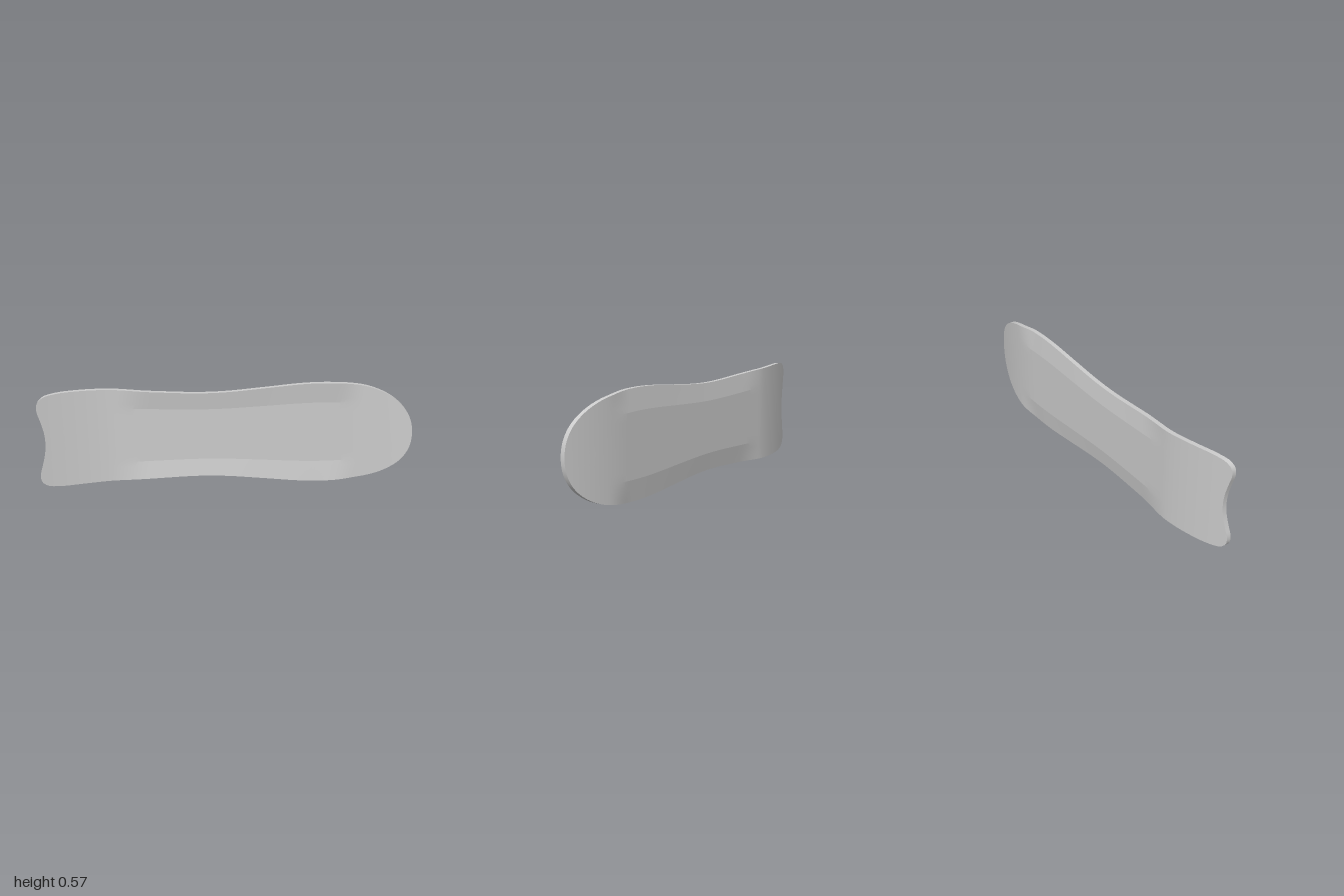
import * as THREE from 'three';
import { toCreasedNormals } from 'three/addons/utils/BufferGeometryUtils.js';

const MID_Y = 0.285;
const THICK = 0.024;
const { clamp, smoothstep } = THREE.MathUtils;

// Half of the deck outline, from the notch in the tail to the tip of the nose: [x, half width]
const HALF = [
  [-0.965, 0], [-0.97, 0.06], [-0.985, 0.125], [-1, 0.185], [-0.995, 0.224], [-0.965, 0.252],
  [-0.9, 0.265], [-0.8, 0.268], [-0.6, 0.263], [-0.4, 0.251], [-0.15, 0.24], [0, 0.244],
  [0.2, 0.262], [0.4, 0.281], [0.52, 0.285], [0.65, 0.278], [0.78, 0.254], [0.88, 0.21],
  [0.95, 0.15], [0.988, 0.08], [1, 0],
];

function outlinePoints(count) {
  const mirrored = HALF.slice(1, -1).reverse().map(([x, y]) => [x, -y]);
  const points = [...HALF, ...mirrored].map(([x, y]) => new THREE.Vector3(x, y, 0));
  return new THREE.CatmullRomCurve3(points, true).getSpacedPoints(count).slice(0, count);
}

// Height of the back face: flat middle, kicked up tail and nose, raised sides
function backZ(x, v) {
  const tail = 0.085 * Math.pow(clamp((-0.6 - x) / 0.4, 0, 1), 1.6);
  const nose = 0.056 * Math.pow(clamp((x - 0.6) / 0.4, 0, 1), 2);
  const fade = smoothstep(x, -0.64, -0.4) * (1 - smoothstep(x, 0.58, 0.74));
  const side = 0.013 * clamp((v - 0.6) / 0.4, 0, 1) * fade;
  return -0.0525 + tail + nose + side;
}

// Point on the deck: v runs from the centre line (0) to the outline (1)
function deckPoint(p, v, lift) {
  const spine = clamp(p.x, -0.85, 0.82);
  const x = spine + (p.x - spine) * v;
  return [x, MID_Y + p.y * v, backZ(x, v) + lift];
}

// Closed strips between successive loops of points
function skin(loops, flip) {
  const n = loops[0].length;
  const index = [];
  for (let j = 0; j < loops.length - 1; j++) {
    for (let i = 0; i < n; i++) {
      const k = (i + 1) % n;
      const a = j * n + i, b = j * n + k, c = b + n, d = a + n;
      if (flip) index.push(a, c, b, a, d, c);
      else index.push(a, b, c, a, c, d);
    }
  }
  const geometry = new THREE.BufferGeometry();
  geometry.setAttribute('position', new THREE.Float32BufferAttribute(loops.flat(2), 3));
  geometry.setIndex(index);
  geometry.computeVertexNormals();
  return geometry;
}

export function createModel() {
  const group = new THREE.Group();
  group.name = 'skateboardDeck';
  const material = new THREE.MeshStandardMaterial({ color: 0xcccccc });
  const outline = outlinePoints(240);
  const loop = (v, lift) => outline.map((p) => deckPoint(p, v, lift));
  const add = (name, geometry) => {
    const mesh = new THREE.Mesh(geometry, material);
    mesh.name = name;
    group.add(mesh);
  };

  // Both faces, with a soft fold where the sides begin to rise
  const rows = [0, 0.15, 0.3, 0.45, 0.6, 0.7, 0.8, 0.9, 1];
  add('standingFace', toCreasedNormals(skin(rows.map((v) => loop(v, THICK)), false), 0.09));
  add('underside', toCreasedNormals(skin(rows.map((v) => loop(v, 0)), true), 0.09));

  // Edge wall around the outline
  add('rim', skin([loop(1, THICK), loop(1, 0)], false));
  return group;
}
